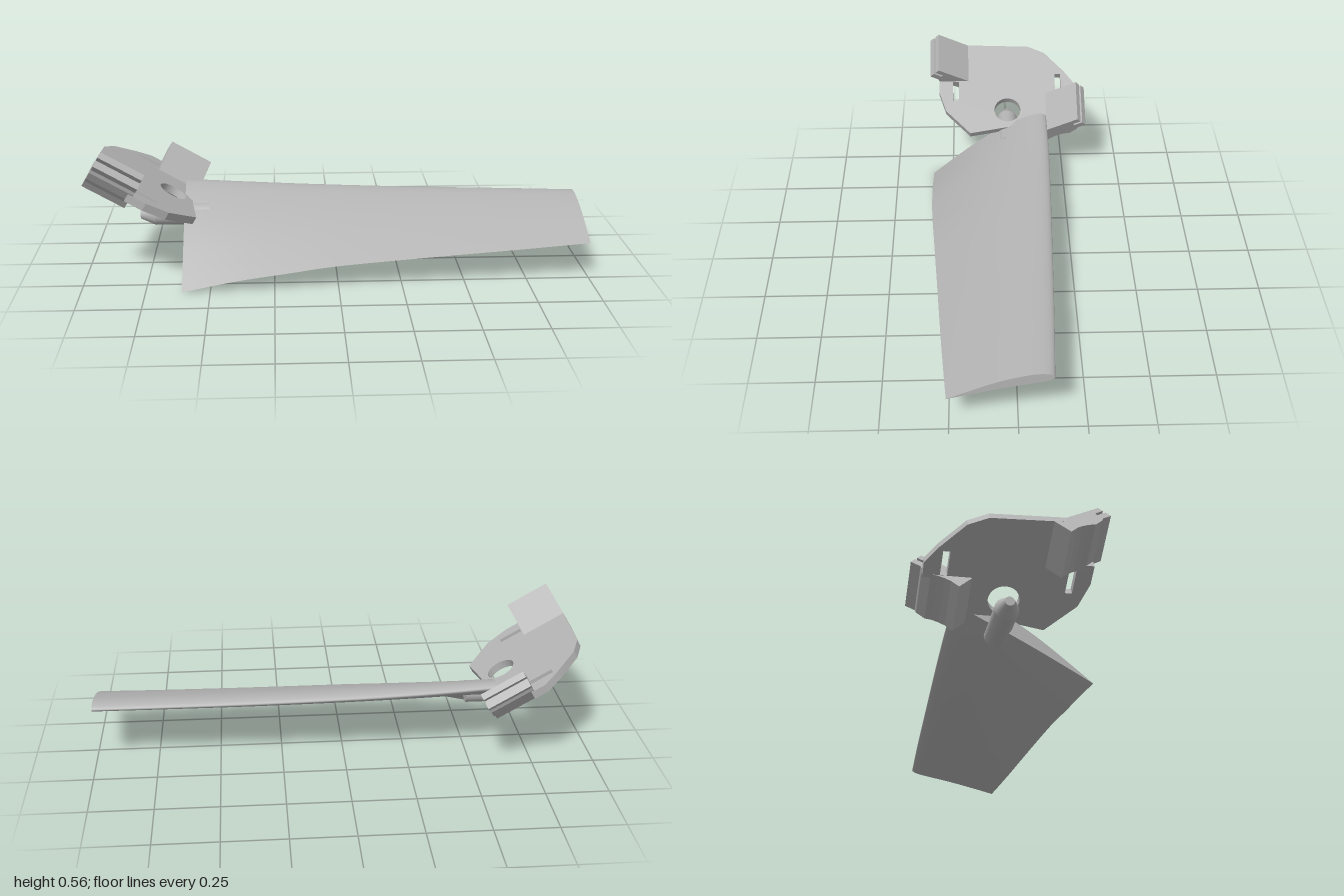
import * as THREE from 'three';

const grey = new THREE.MeshStandardMaterial({ color: 0xb4b4b4 });
grey.name = 'plain grey';

function addMesh(parent, name, geometry) {
  const mesh = new THREE.Mesh(geometry, grey);
  mesh.name = name;
  parent.add(mesh);
  return mesh;
}

const polygon = (points) => new THREE.Shape(points.map(([a, b]) => new THREE.Vector2(a, b)));
const curve = (points) =>
  new THREE.CatmullRomCurve3(points.map((p) => new THREE.Vector3(...p)), false, 'catmullrom', 0.5);

function indexedGeometry(positions, index) {
  const g = new THREE.BufferGeometry();
  g.setAttribute('position', new THREE.Float32BufferAttribute(positions, 3));
  g.setIndex(index);
  g.computeVertexNormals();
  return g;
}

// Twisted, tapering blade lofted between its trailing and leading edges
function makeBlade() {
  const blade = new THREE.Group();
  blade.name = 'blade';
  const trailing = curve([
    [-0.61, 0, 0.337], [-0.4, 0.042, 0.339], [-0.2, 0.069, 0.334], [0, 0.092, 0.322],
    [0.35, 0.113, 0.3], [0.7, 0.131, 0.278], [1, 0.147, 0.256],
  ]);
  const leading = curve([
    [-0.61, 0.302, -0.17], [-0.4, 0.288, -0.171], [-0.2, 0.277, -0.168], [0, 0.268, -0.163],
    [0.35, 0.257, -0.152], [0.7, 0.25, -0.14], [1, 0.244, -0.127],
  ]);
  // Aerofoil: [distance along chord, offset from chord], over the top and back underneath
  const foil = curve([
    [0, 0, 0], [0.17, 0.03, 0], [0.4, 0.066, 0], [0.6, 0.083, 0], [0.8, 0.08, 0], [0.91, 0.062, 0],
    [0.975, 0.034, 0], [1, 0, 0], [0.975, -0.018, 0], [0.91, -0.026, 0], [0.8, -0.022, 0],
    [0.6, -0.01, 0], [0.4, -0.003, 0], [0.17, 0, 0], [0, 0, 0],
  ]).getPoints(56);
  const n = foil.length - 1;
  const spans = 36;

  const section = (t) => {
    const te = trailing.getPoint(t);
    const le = leading.getPoint(t);
    const dy = le.y - te.y;
    const dz = le.z - te.z;
    return foil.flatMap((p) => [te.x, te.y + p.x * dy - p.y * dz, te.z + p.x * dz + p.y * dy]);
  };

  const positions = [];
  const index = [];
  for (let s = 0; s <= spans; s++) {
    positions.push(...section(s / spans));
    if (s === spans) break;
    for (let i = 0; i < n; i++) {
      const a = s * (n + 1) + i;
      const c = a + n + 1;
      index.push(a, c, a + 1, a + 1, c, c + 1);
    }
  }
  addMesh(blade, 'bladeSkin', indexedGeometry(positions, index));

  // Flat ends
  for (const [name, t] of [['bladeRootEnd', 0], ['bladeTipEnd', 1]]) {
    const faces = [];
    for (let i = 0; i < n / 2; i++) {
      const j = n - i;
      if (t === 0) faces.push(i, i + 1, j, i + 1, j - 1, j);
      else faces.push(i, j, i + 1, i + 1, j, j - 1);
    }
    addMesh(blade, name, indexedGeometry(section(t), faces));
  }
  return blade;
}

// Sloping mount; its local axes are: x across, y out of the plate, z up the slope
function makeMount() {
  const mount = new THREE.Group();
  mount.name = 'mount';
  const c = Math.cos(Math.PI / 6);
  mount.quaternion.setFromRotationMatrix(new THREE.Matrix4().makeBasis(
    new THREE.Vector3(0, 0, 1), new THREE.Vector3(0.5, c, 0), new THREE.Vector3(-c, 0.5, 0)));
  mount.position.set(-0.655, 0.306, 0);

  // Plate with a round hole and two slots
  const plate = polygon([
    [0.173, 0.337], [-0.1, 0.326], [-0.173, 0.292], [-0.258, 0.196], [-0.305, 0.13], [-0.305, 0.07],
    [-0.2, 0.07], [-0.19, -0.06], [-0.15, -0.075], [0.02, -0.09], [0.167, -0.115], [0.274, -0.002],
    [0.304, 0.094], [0.304, 0.17], [0.2, 0.17],
  ]);
  plate.holes.push(new THREE.Path().absarc(0, 0, 0.058, 0, Math.PI * 2, true));
  for (const [x, z] of [[0.217, 0.05], [-0.243, 0.083]]) {
    plate.holes.push(new THREE.Path([[x, z], [x, z + 0.097], [x + 0.026, z + 0.097], [x + 0.026, z]]
      .map((p) => new THREE.Vector2(...p))));
  }
  addMesh(mount, 'mountPlate',
    new THREE.ExtrudeGeometry(plate, { depth: 0.032, bevelEnabled: false, curveSegments: 32 })
      .rotateX(Math.PI / 2));

  // Slotted clips, one on each side
  const profile = [
    [0.173, 0], [0.304, 0.098], [0.319, 0.078], [0.286, 0.053], [0.293, 0.043], [0.327, 0.068],
    [0.343, 0.046], [0.309, 0.02], [0.305, 0.005], [0.275, -0.031], [0.25, -0.037], [0.226, -0.05],
    [0.204, -0.067], [0.178, -0.099], [0.127, -0.035],
  ];
  for (const [name, side, start] of [['frontClip', 1, 0.15], ['backClip', -1, -0.104]]) {
    const shape = polygon(profile.map(([x, y]) => [x * side, y]));
    addMesh(mount, name, new THREE.ExtrudeGeometry(shape, { depth: 0.186, bevelEnabled: false }))
      .position.z = start;
  }
  return mount;
}

export function createModel() {
  const model = new THREE.Group();
  model.name = 'bladeAssembly';
  model.add(makeBlade(), makeMount());

  // Round pin under the plate, pushed into the blade
  const pin = addMesh(model, 'rootPin', new THREE.CylinderGeometry(0.045, 0.045, 0.22, 32));
  pin.rotation.z = Math.PI / 2;
  pin.position.set(-0.62, 0.211, 0);
  const pinEnd = addMesh(model, 'pinEnd', new THREE.CylinderGeometry(0.018, 0.045, 0.06, 32));
  pinEnd.rotation.z = Math.PI / 2;
  pinEnd.position.set(-0.76, 0.211, 0);
  return model;
}
